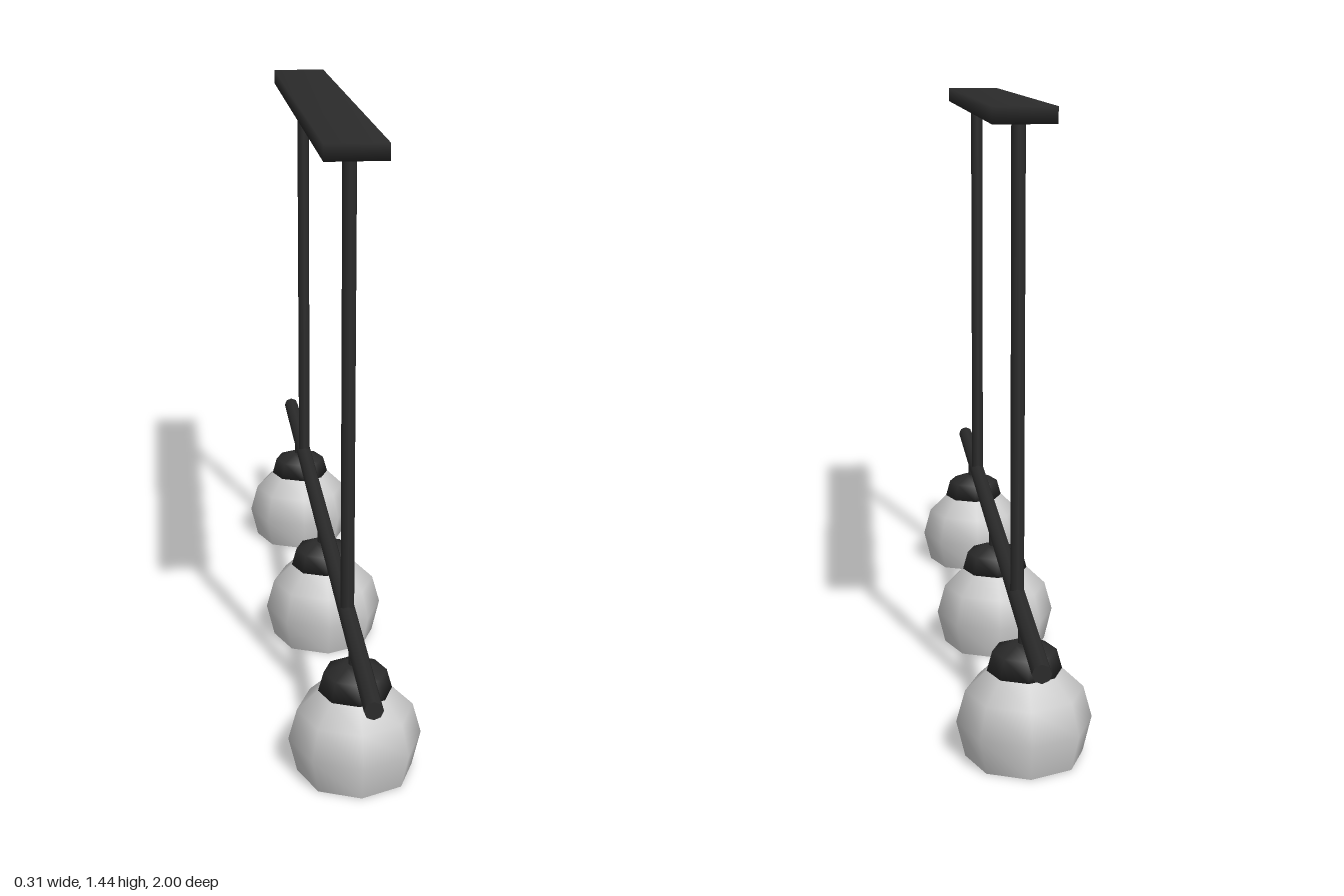
import * as THREE from 'three';
import { mergeVertices } from 'three/addons/utils/BufferGeometryUtils.js';

const SIDES = 8;

export function createModel() {
  const model = new THREE.Group();
  model.name = 'linearPendantLamp';
  const metal = new THREE.MeshStandardMaterial({ color: 0x2b2b2b });
  const glass = new THREE.MeshStandardMaterial({ color: 0xcccccc, side: THREE.DoubleSide });

  const add = (parent, name, geometry, material, x, y, z) => {
    const mesh = new THREE.Mesh(geometry, material);
    mesh.name = name;
    mesh.position.set(x, y, z);
    parent.add(mesh);
    return mesh;
  };
  const lathe = (points) =>
    new THREE.LatheGeometry(points.map(([r, y]) => new THREE.Vector2(r, y)), SIDES);
  const rod = (radius, length) => new THREE.CylinderGeometry(radius, radius, length, SIDES);

  // Ceiling plate with corner normals shared between its faces
  let plate = new THREE.BoxGeometry(0.14, 0.037, 1.334);
  plate.deleteAttribute('normal');
  plate.deleteAttribute('uv');
  plate = mergeVertices(plate);
  plate.computeVertexNormals();
  add(model, 'ceilingPlate', plate, metal, 0, 1.419, 0);

  // Two hanging rods
  const hanger = rod(0.016, 1.09);
  for (const side of [1, -1]) {
    add(model, side > 0 ? 'frontHangingRod' : 'backHangingRod', hanger, metal, 0, 0.865, side * 0.54);
  }

  // Long horizontal rail
  add(model, 'rail', rod(0.021, 2), metal, 0, 0.318, 0).rotation.x = Math.PI / 2;

  // Three identical lamps: stem, cap and open glass shade
  const stem = rod(0.015, 0.06);
  const cap = lathe([[0, 0.2], [0.085, 0.2], [0.072, 0.247], [0.028, 0.265], [0, 0.265]]);
  const shade = lathe([[0.133, 0], [0.153, 0.083], [0.133, 0.156], [0.085, 0.202]]);
  ['backLamp', 'middleLamp', 'frontLamp'].forEach((name, i) => {
    const lamp = new THREE.Group();
    lamp.name = name;
    lamp.position.z = (i - 1) * 0.692;
    add(lamp, 'stem', stem, metal, 0, 0.288, 0);
    add(lamp, 'cap', cap, metal, 0, 0, 0);
    add(lamp, 'shade', shade, glass, 0, 0, 0);
    model.add(lamp);
  });

  return model;
}
